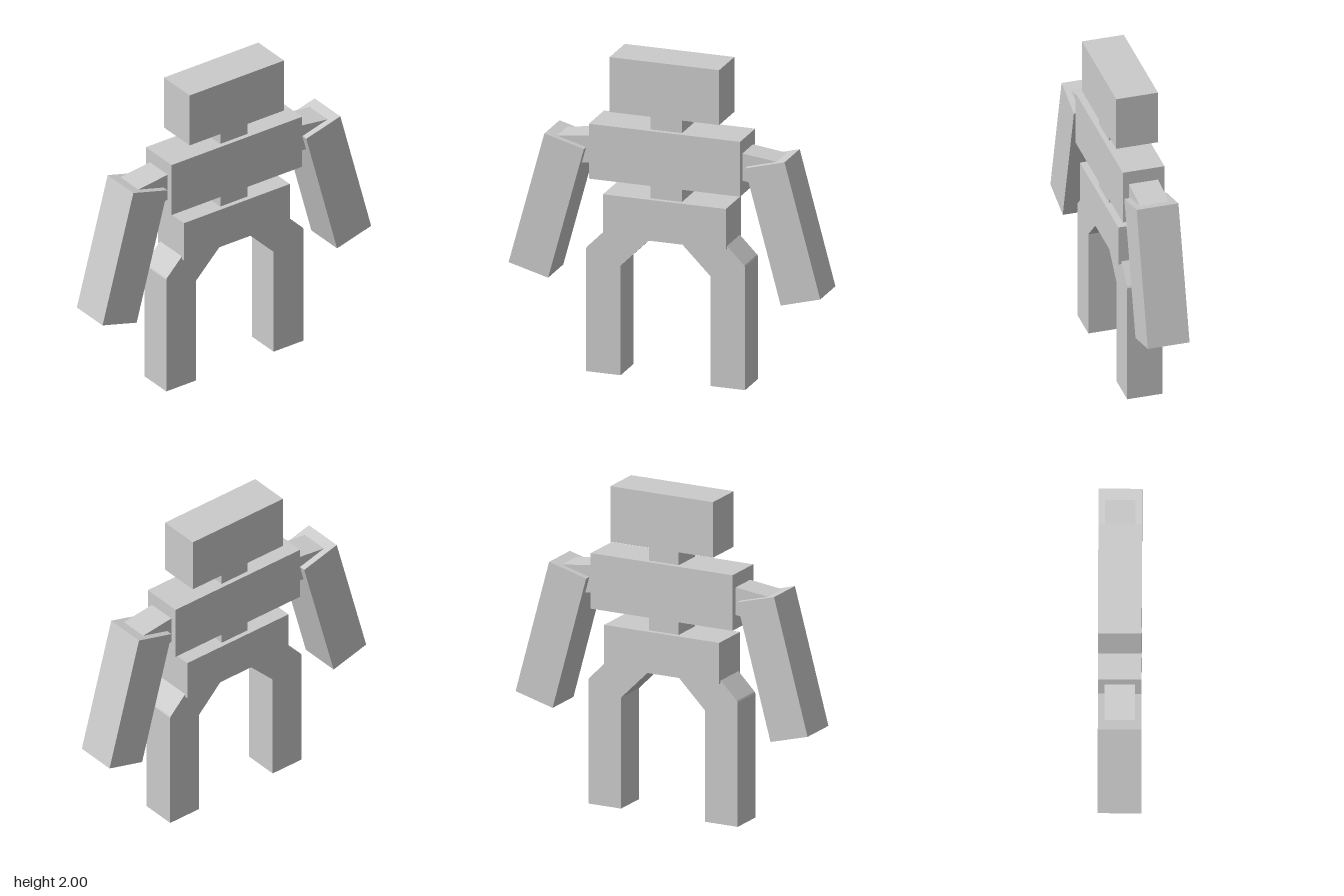
import * as THREE from 'three';

const material = new THREE.MeshStandardMaterial({ color: 0xcccccc, flatShading: true });

export function createModel() {
  const model = new THREE.Group();
  model.name = 'blockFigure';

  // Box given by its size, centre and tilt about z
  function box(name, [w, h, d], [x, y], tilt = 0) {
    const mesh = new THREE.Mesh(new THREE.BoxGeometry(w, h, d), material);
    mesh.name = name;
    mesh.position.set(x, y, 0);
    mesh.rotation.z = tilt;
    model.add(mesh);
  }

  // Stacked trunk
  box('head', [0.695, 0.345, 0.26], [0, 1.8275]);
  box('neck', [0.2, 0.13, 0.2], [0, 1.61]);
  box('chest', [0.96, 0.345, 0.26], [0, 1.3925]);
  box('waist', [0.2, 0.13, 0.2], [0, 1.175]);
  box('pelvis', [0.78, 0.257, 0.26], [0, 1.0035]);

  for (const [side, s] of [['left', 1], ['right', -1]]) {
    // Sloping shoulder link and splayed arm
    box(side + 'Shoulder', [0.32, 0.17, 0.18], [s * 0.55, 1.385], -s * 0.125);
    box(side + 'Arm', [0.26, 0.866, 0.26], [s * 0.75, 1.018], s * 0.265);

    // Bent leg: upright shin with the thigh leaning 45 degrees into the pelvis
    const outline = [
      [0.285, 0], [0.505, 0], [0.505, 0.772], [0.5, 0.782],
      [0.265, 1.02], [0.11, 0.865], [0.285, 0.69],
    ];
    const shape = new THREE.Shape(outline.map(([x, y]) => new THREE.Vector2(s * x, y)));
    const geometry = new THREE.ExtrudeGeometry(shape, { depth: 0.22, bevelEnabled: false });
    geometry.translate(0, 0, -0.11);
    const leg = new THREE.Mesh(geometry, material);
    leg.name = side + 'Leg';
    model.add(leg);
  }

  return model;
}
